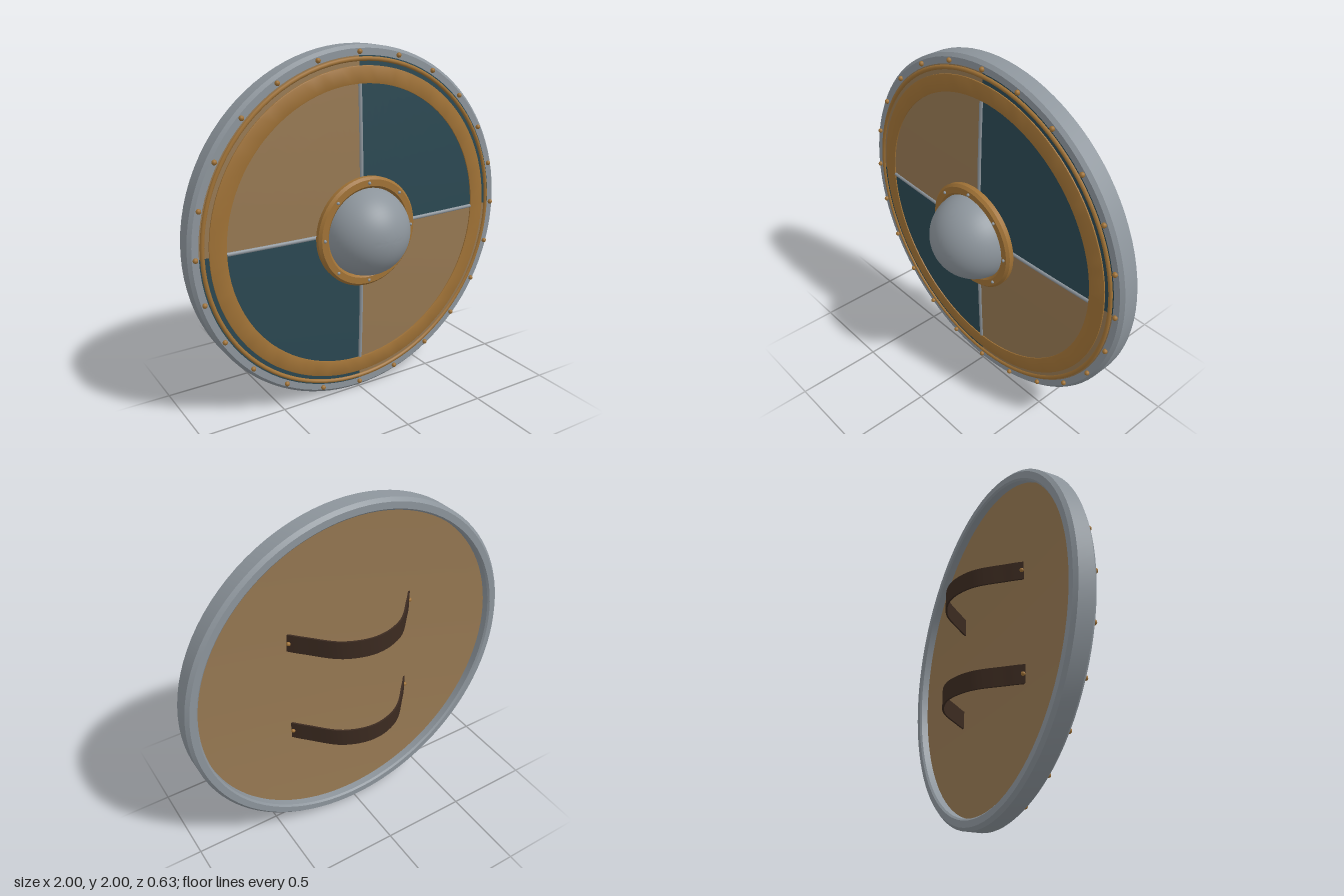
import * as THREE from 'three';
import { toCreasedNormals } from 'three/addons/utils/BufferGeometryUtils.js';

const material = (name, color) => new THREE.MeshStandardMaterial({ name, color });

export function createModel() {
  const shield = new THREE.Group();
  shield.name = 'roundShield';
  const steel = material('steel', 0x8d959c);
  const bronze = material('bronze', 0xa07236);
  const wood = material('wood', 0x967852);
  const teal = material('tealPaint', 0x2b4852);
  const leather = material('leather', 0x3b2a20);

  const add = (name, geometry, mat, parent = shield) => {
    const mesh = new THREE.Mesh(geometry, mat);
    mesh.name = name;
    parent.add(mesh);
    return mesh;
  };
  const group = (name) => {
    const g = new THREE.Group();
    g.name = name;
    shield.add(g);
    return g;
  };

  // Profiles are [radius, z] pairs, turned about the shield's z axis
  const turn = (points, segments = 96, start = 0, length = Math.PI * 2) => {
    const lathe = new THREE.LatheGeometry(points.map(([r, z]) => new THREE.Vector2(r, z)), segments, start, length);
    return toCreasedNormals(lathe.rotateX(Math.PI / 2), 0.6);
  };
  const domeZ = (r) => 0.03 - 0.03 * r * r;
  const boardRadius = 0.945;
  const thickness = 0.075;
  const radii = [0, 0.15, 0.3, 0.45, 0.6, 0.75, 0.85, boardRadius];

  // Slightly domed board: wooden back and four painted front quarters
  add('boardBack', turn([...radii.map((r) => [r, domeZ(r) - thickness]), [boardRadius, domeZ(boardRadius)]]), wood);
  const front = radii.map((r) => [r, domeZ(r)]).reverse();
  for (let i = 0; i < 4; i++) {
    add('frontQuarter' + (i + 1), turn(front, 24, i * Math.PI / 2, Math.PI / 2), i % 2 ? teal : wood);
  }

  // Bevelled steel rim
  add('rim', turn([
    [0.935, -0.112], [0.945, -0.122], [0.982, -0.122], [1, -0.104], [1, -0.015],
    [0.982, 0.003], [0.935, 0.003], [0.935, -0.112],
  ]), steel);

  // Bronze bands inside the rim
  add('wideBand', turn([
    [0.80, domeZ(0.8) - 0.01], [0.893, domeZ(0.893) - 0.01], [0.893, domeZ(0.893) + 0.006],
    [0.888, domeZ(0.888) + 0.008], [0.805, domeZ(0.805) + 0.008], [0.80, domeZ(0.8) + 0.006],
    [0.80, domeZ(0.8) - 0.01],
  ]), bronze);
  add('thinBand', new THREE.TorusGeometry(0.927, 0.012, 8, 96).translate(0, 0, 0.004), bronze);

  // Steel dividers following the dome between the quarters
  for (let i = 0; i < 2; i++) {
    const path = new THREE.CatmullRomCurve3([-0.8, -0.4, 0, 0.4, 0.8].map((x) => new THREE.Vector3(x, 0, domeZ(x))));
    const divider = add('divider' + (i + 1), new THREE.TubeGeometry(path, 20, 0.011, 8), steel);
    divider.rotation.z = i * Math.PI / 2;
  }

  // Raised boss and its collar
  const boss = [];
  for (let i = 0; i <= 16; i++) {
    const a = i / 16 * Math.PI / 2;
    boss.push([0.25 * Math.cos(a), 0.065 + 0.25 * Math.sin(a)]);
  }
  boss[16][0] = 0;
  add('boss', turn([[0, 0.065], ...boss], 48), steel);
  add('bossCollar', turn([
    [0.24, 0.062], [0.31, 0.062], [0.312, 0.09], [0.298, 0.105], [0.262, 0.105], [0.247, 0.09], [0.24, 0.062],
  ], 64), bronze);

  // Rivets around the rim and the collar
  const ringOfRivets = (name, count, radius, z, size, mat) => {
    const rivets = group(name);
    const geometry = new THREE.SphereGeometry(size, 10, 8);
    for (let i = 0; i < count; i++) {
      const a = i / count * Math.PI * 2;
      add('rivet', geometry, mat, rivets).position.set(radius * Math.cos(a), radius * Math.sin(a), z);
    }
  };
  ringOfRivets('rimRivets', 24, 0.965, 0.009, 0.014, bronze);
  ringOfRivets('collarRivets', 8, 0.28, 0.107, 0.009, steel);

  // Two bowed leather arm straps on the back, riveted at both ends
  const bow = new THREE.SplineCurve([
    [-0.39, -0.05], [-0.325, -0.122], [-0.18, -0.262], [0, -0.315], [0.18, -0.262], [0.325, -0.122], [0.39, -0.05],
  ].map(([x, z]) => new THREE.Vector2(x, z)));
  const outer = bow.getPoints(36);
  const inner = outer.map((p, i) => {
    const t = bow.getTangent(i / 36);
    return new THREE.Vector2(p.x - t.y * 0.01, p.y + t.x * 0.01);
  });
  const strapShape = new THREE.Shape([...outer, ...inner.reverse()]);
  const strapGeometry = toCreasedNormals(
    new THREE.ExtrudeGeometry(strapShape, { depth: 0.105, bevelEnabled: false })
      .rotateX(Math.PI / 2).translate(0, 0.0525, 0), 0.6);
  for (const [name, y] of [['upperStrap', 0.3], ['lowerStrap', -0.3]]) {
    const strap = group(name);
    strap.position.y = y;
    add('strapBand', strapGeometry, leather, strap);
    for (const side of [-1, 1]) {
      add('strapRivet', new THREE.SphereGeometry(0.012, 10, 8), bronze, strap).position.set(side * 0.382, 0, -0.062);
    }
  }

  shield.position.y = 1;
  const model = new THREE.Group();
  model.name = 'shieldModel';
  model.add(shield);
  return model;
}
